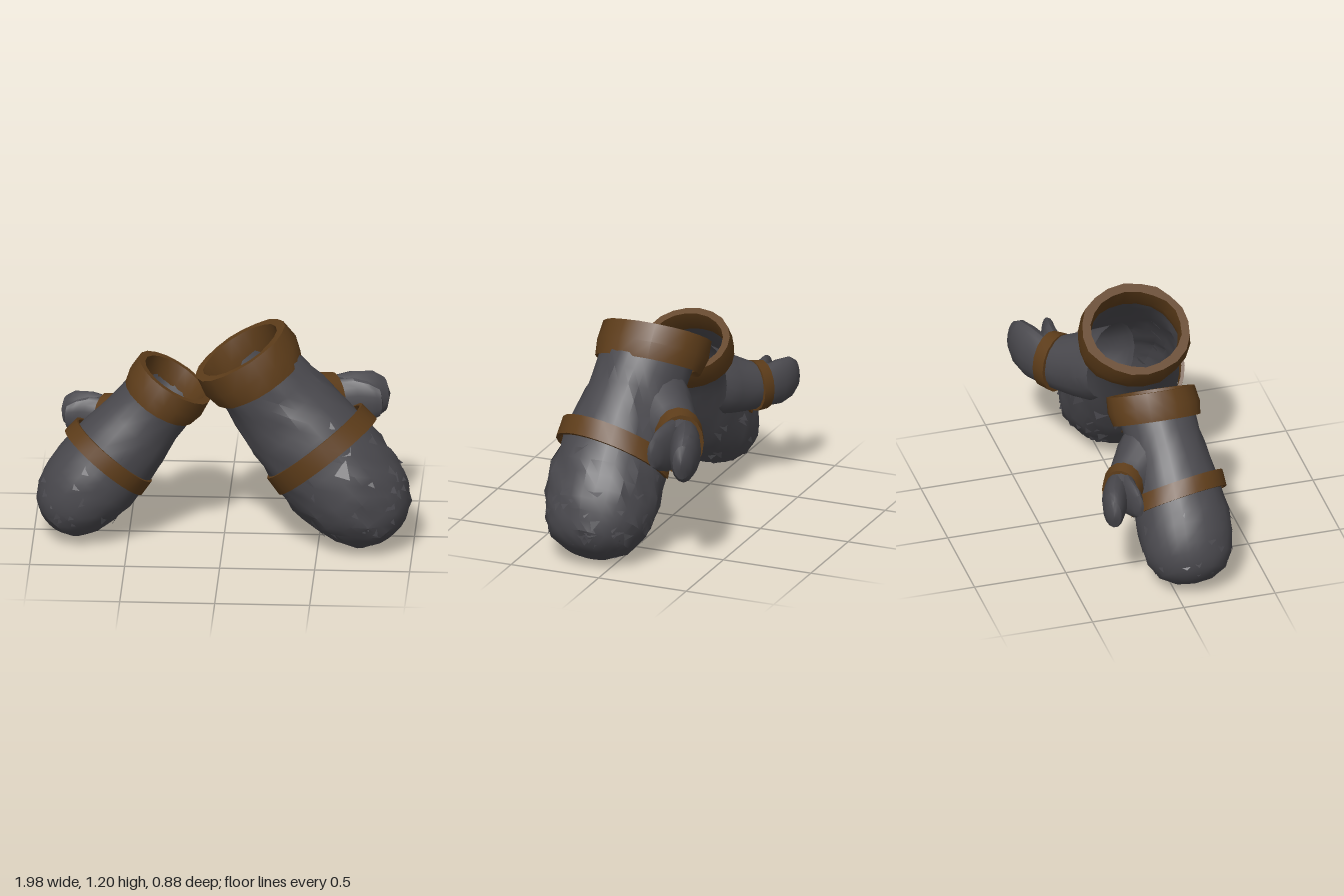
import * as THREE from 'three';
import { toCreasedNormals } from 'three/addons/utils/BufferGeometryUtils.js';

const hide = new THREE.MeshStandardMaterial({ color: 0x4a494e, side: THREE.DoubleSide });
hide.name = 'charcoal hide';
const leather = new THREE.MeshStandardMaterial({ color: 0x5e3d1a, side: THREE.DoubleSide });
leather.name = 'brown leather';

function seeded(seed) {
  return () => {
    seed = (seed * 16807) % 2147483647;
    return seed / 2147483647;
  };
}

const V = (x, y, z) => new THREE.Vector3(x, y, z);

// Cross-section directions: across the hand, across the cuff, across the thumb
const HAND = V(0.774, 0.633, 0), CUFF = V(0.86, 0.51, 0), THUMB = V(0.53, 0, 0.85);
const Z = V(0, 0, 1), Y = V(0, 1, 0);
// The hand strap slopes down towards the thumb
const STRAP_TILT = V(-0.1, 0.12, 1);

// Each row: centre x, y, z, then the two half widths
const BODY = [
  [0.15, 0.97, 0.07, 0.235, 0.25], [0.26, 0.83, 0.085, 0.25, 0.24],
  [0.37, 0.69, 0.10, 0.275, 0.262], [0.49, 0.545, 0.11, 0.295, 0.285],
  [0.60, 0.41, 0.12, 0.30, 0.30], [0.695, 0.30, 0.12, 0.287, 0.30],
  [0.775, 0.205, 0.12, 0.252, 0.275], [0.84, 0.13, 0.12, 0.192, 0.215],
  [0.875, 0.088, 0.12, 0.11, 0.12], [0.888, 0.074, 0.12, 0, 0],
];
// A broad gusset narrows from the wrist to the thumb
const THUMB_ROOT = [
  [0.30, 0.75, -0.02, 0.19, 0.22], [0.345, 0.715, -0.06, 0.195, 0.22],
  [0.43, 0.68, -0.145, 0.165, 0.19],
  [0.53, 0.65, -0.255, 0.12, 0.152], [0.62, 0.645, -0.305, 0.09, 0.13],
];
const THUMB_OUTER = [
  [0.50, 0.645, -0.28, 0.08, 0.13], [0.66, 0.645, -0.35, 0.085, 0.15],
  [0.76, 0.65, -0.385, 0.072, 0.135], [0.82, 0.65, -0.40, 0.05, 0.095], [0.852, 0.65, -0.408, 0, 0],
];
const THUMB_INNER = [
  [0.52, 0.65, -0.24, 0.072, 0.13], [0.66, 0.66, -0.25, 0.064, 0.138],
  [0.74, 0.667, -0.237, 0.054, 0.115], [0.80, 0.67, -0.23, 0.035, 0.08], [0.822, 0.67, -0.225, 0, 0],
];
// Closed profiles give the cuff and straps their thickness
const CUFF_RING = [
  [0.19, 0.908, 0.065, 0.255, 0.287], [0.14, 0.98, 0.06, 0.28, 0.30],
  [0.085, 1.065, 0.055, 0.272, 0.29], [0.085, 1.065, 0.055, 0.225, 0.245],
  [0.14, 0.98, 0.06, 0.215, 0.235], [0.18, 0.92, 0.065, 0.235, 0.25],
];
const STRAP = [
  [0.48, 0.58, 0.11, 0.318, 0.312], [0.55, 0.495, 0.11, 0.326, 0.32],
  [0.55, 0.495, 0.11, 0.306, 0.30], [0.48, 0.58, 0.11, 0.30, 0.294],
];
const THUMB_STRAP = [
  [0.50, 0.655, -0.24, 0.136, 0.17], [0.567, 0.648, -0.283, 0.125, 0.163],
  [0.567, 0.648, -0.283, 0.105, 0.14], [0.50, 0.655, -0.24, 0.115, 0.15],
];

function pointOn(row, a, b, angle, grow = 1) {
  return V(row[0], row[1], row[2])
    .addScaledVector(a, row[3] * grow * Math.cos(angle))
    .addScaledVector(b, row[4] * grow * Math.sin(angle));
}

function rowAt(rows, t) {
  const i = Math.min(Math.floor(t), rows.length - 2);
  return rows[i].map((v, k) => v + (rows[i + 1][k] - v) * (t - i));
}

// Skin over cross-sections; from/to in degrees cut a partial band
function loft(rows, a, b, place, { sides = 16, split = 1, rough = 0, rand, closed = false, from = 0, to = 360 } = {}) {
  const ring = to - from === 360, cols = ring ? sides : sides + 1;
  const pos = [], idx = [];
  const count = closed ? rows.length : (rows.length - 1) * split + 1;
  for (let i = 0; i < count; i++) {
    const row = closed ? rows[i] : rowAt(rows, i / split);
    for (let j = 0; j < cols; j++) {
      const angle = THREE.MathUtils.degToRad(from + ((to - from) * j) / sides);
      const grow = rough ? 1 + rough * (rand() - 0.5) : 1;
      pos.push(...place(pointOn(row, a, b, angle, grow)).toArray());
    }
  }
  for (let i = 0; i < (closed ? count : count - 1); i++) {
    const n = (i + 1) % count;
    for (let j = 0; j < sides; j++) {
      const k = (j + 1) % cols;
      const p = i * cols + j, q = i * cols + k, r = n * cols + j, s = n * cols + k;
      idx.push(p, r, q, q, r, s);
    }
  }
  if (!ring && closed) {
    // Caps at the two cut ends
    for (const j of [0, sides]) for (let i = 1; i < count - 1; i++) idx.push(j, i * cols + j, (i + 1) * cols + j);
  }
  const g = new THREE.BufferGeometry();
  g.setAttribute('position', new THREE.Float32BufferAttribute(pos, 3));
  g.setIndex(idx);
  return toCreasedNormals(g, 0.6);
}

// Torn flaps lifting off the hide
function scraps(place, rand, amount, size) {
  const pos = [];
  for (let n = 0; n < amount; n++) {
    const t = 1 + 6.6 * Math.sqrt(rand()), angle = rand() * Math.PI * 2;
    const w = size * (0.5 + rand());
    const corner = (dt, da, grow) =>
      pos.push(...place(pointOn(rowAt(BODY, t + dt), HAND, Z, angle + da, grow)).toArray());
    corner(0, -w, 0.98);
    corner(0.15, w, 0.99);
    corner(0.3 + 0.4 * rand(), w * (rand() - 0.5), 1.02 + 0.04 * rand());
  }
  const g = new THREE.BufferGeometry();
  g.setAttribute('position', new THREE.Float32BufferAttribute(pos, 3));
  g.computeVertexNormals();
  return g;
}

function mitten(name, place, seed, rough, flaps) {
  const group = new THREE.Group();
  group.name = name;
  const rand = seeded(seed);
  const add = (part, geometry, material) => {
    const m = new THREE.Mesh(geometry, material);
    m.name = part;
    group.add(m);
  };
  add('hand', loft(BODY, HAND, Z, place, { sides: 28, split: 2, rough, rand }), hide);
  add('frayedScraps', scraps(place, rand, flaps, 0.12), hide);
  add('thumbRoot', loft(THUMB_ROOT, THUMB, Y, place, { split: 2, rough: rough * 0.6, rand }), hide);
  add('thumbOuterLobe', loft(THUMB_OUTER, THUMB, Y, place, { split: 2 }), hide);
  add('thumbInnerLobe', loft(THUMB_INNER, THUMB, Y, place, { split: 2 }), hide);
  add('cuff', loft(CUFF_RING, CUFF, Z, place, { sides: 20, rough: rough * 0.5, rand, closed: true }), leather);
  // The hand strap stops short of the palm
  add('handStrap', loft(STRAP, HAND, STRAP_TILT, place, { sides: 22, closed: true, from: -95, to: 192 }), leather);
  add('thumbStrap', loft(THUMB_STRAP, THUMB, Y, place, { closed: true }), leather);
  return group;
}

export function createModel() {
  const model = new THREE.Group();
  model.name = 'pairOfMittens';
  model.add(mitten('leftMitten', (p) => p, 4271, 0.075, 100));
  // The right one is mirrored and smaller
  const mirror = (p) => V(-0.19 - 0.805 * p.x, 0.02 + 0.82 * p.y, -0.01 + 0.82 * p.z);
  model.add(mitten('rightMitten', mirror, 977, 0.035, 40));
  return model;
}
